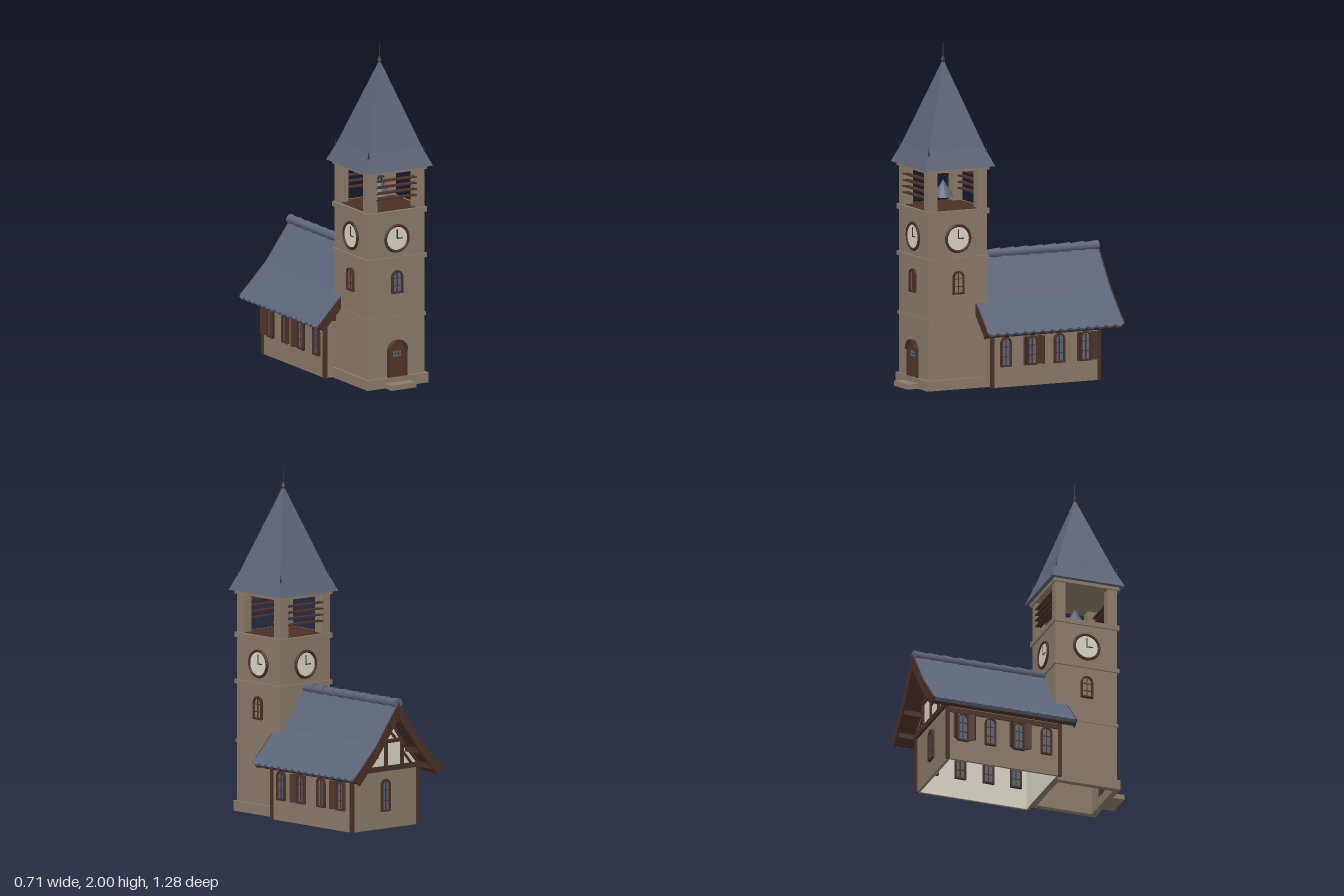
import * as THREE from 'three';

const mat = (name, color) => Object.assign(new THREE.MeshStandardMaterial({ color }), { name });

export function createModel() {
  const stone = mat('stone', 0x8b7b6b), slate = mat('slate', 0x5c6579), timber = mat('timber', 0x4a3129),
    plaster = mat('plaster', 0xdad5c8), door = mat('door wood', 0x553629), iron = mat('iron', 0x35352a);
  const model = new THREE.Group();
  const TZ = 0.365, T = 0.19; // tower centre and half width

  const add = (parent, name, geo, m, x = 0, y = 0, z = 0) => {
    const mesh = new THREE.Mesh(geo, m);
    mesh.name = name;
    mesh.position.set(x, y, z);
    parent.add(mesh);
    return mesh;
  };
  const box = (parent, name, m, w, h, d, x, y, z) => add(parent, name, new THREE.BoxGeometry(w, h, d), m, x, y, z);
  const group = (name, x = 0, y = 0, z = 0, turn = 0) => {
    const g = new THREE.Group();
    g.name = name;
    g.position.set(x, y, z);
    g.rotation.y = turn;
    model.add(g);
    return g;
  };
  const extrude = (shape, depth) => new THREE.ExtrudeGeometry(shape, { depth, bevelEnabled: false, curveSegments: 10 });
  const poly = pts => new THREE.Shape(pts.map(p => new THREE.Vector2(...p)));
  const beam = (parent, a, b, w, d, z) => {
    const dx = b[0] - a[0], dy = b[1] - a[1];
    box(parent, 'gableTimber', timber, Math.hypot(dx, dy), w, d, (a[0] + b[0]) / 2, (a[1] + b[1]) / 2, z)
      .rotation.z = Math.atan2(dy, dx);
  };

  // Square hollow course of masonry
  const course = (name, half, y0, y1, thick = 0.02) => {
    const sq = r => [[-r, -r], [r, -r], [r, r], [-r, r]];
    const s = poly(sq(half));
    s.holes.push(poly(sq(half - thick)));
    add(model, name, extrude(s, y1 - y0), stone, 0, y0, TZ).rotation.x = -Math.PI / 2;
  };
  // Round-headed outline standing on y = base
  const arch = (half, base, top) => {
    const s = new THREE.Shape();
    s.moveTo(-half, base);
    s.lineTo(half, base);
    s.lineTo(half, top - half);
    s.absarc(0, top - half, half, 0, Math.PI, false);
    s.closePath();
    return s;
  };
  // Arched window facing local +z
  const archWindow = (g, half, h, glass) => {
    const frame = arch(half, 0, h), inner = arch(half - 0.01, 0.01, h - 0.01);
    frame.holes.push(inner);
    add(g, 'windowFrame', extrude(frame, 0.016), timber);
    add(g, 'windowGlass', extrude(inner, 0.005), glass);
    box(g, 'mullion', timber, 0.006, h - 0.02, 0.01, 0, h / 2, 0.005);
    for (const t of [0.33, 0.66]) box(g, 'glazingBar', timber, half * 2 - 0.015, 0.004, 0.008, 0, h * t, 0.005);
  };

  // Tower shaft, plinth and string courses
  course('towerWalls', T, 0, 1.04);
  course('plinth', 0.205, 0, 0.06, 0.035);
  course('lowerBand', 0.195, 0.4, 0.42);
  course('middleBand', 0.2, 0.745, 0.77);
  course('upperBand', 0.2, 1.015, 1.045);
  box(model, 'towerCeiling', stone, 0.36, 0.01, 0.36, 0, 0.4, TZ);
  box(model, 'step', stone, 0.17, 0.03, 0.09, 0, 0.015, 0.595);

  // Clocks and tower windows
  for (let i = 0; i < 4; i++) {
    const a = i * Math.PI / 2, nx = Math.sin(a), nz = Math.cos(a);
    const clock = group('clock', nx * T, 0.88, TZ + nz * T, a);
    add(clock, 'clockRim', new THREE.TorusGeometry(0.076, 0.009, 8, 32), timber, 0, 0, 0.004);
    add(clock, 'clockFace', new THREE.CylinderGeometry(0.074, 0.074, 0.012, 32), plaster).rotation.x = Math.PI / 2;
    box(clock, 'minuteHand', timber, 0.006, 0.055, 0.004, 0, 0.026, 0.007);
    box(clock, 'hourHand', timber, 0.038, 0.006, 0.004, 0.017, 0, 0.007);
    if (i !== 2) {
      const win = group('towerWindow', nx * T, 0.555, TZ + nz * T, a);
      archWindow(win, 0.036, 0.135, i ? stone : slate);
      box(win, 'windowSill', timber, 0.076, 0.008, 0.02, 0, 0.004, 0.008);
    }
  }

  // Entrance door
  const entry = group('entrance', 0, 0.06, TZ + T);
  add(entry, 'doorLeaf', extrude(arch(0.056, 0, 0.205), 0.026), door, 0, 0, -0.021);
  const surround = arch(0.064, 0, 0.216);
  surround.holes.push(arch(0.054, 0, 0.204));
  add(entry, 'doorFrame', extrude(surround, 0.014), timber);
  add(entry, 'doorHood', new THREE.TorusGeometry(0.06, 0.007, 6, 16, Math.PI), timber, 0, 0.154, 0.02);
  for (let i = 0; i < 6; i++)
    box(entry, 'doorPane', slate, 0.013, 0.013, 0.004, ((i % 3) - 1) * 0.02, 0.125 + (i > 2) * 0.02, 0.006);

  // Belfry
  for (const x of [-0.16, 0.16]) for (const z of [-0.16, 0.16])
    box(model, 'belfryPost', stone, 0.06, 0.235, 0.06, x, 1.157, TZ + z);
  box(model, 'belfryFloor', timber, 0.36, 0.012, 0.36, 0, 1.042, TZ);
  box(model, 'belfryCeiling', stone, 0.4, 0.02, 0.4, 0, 1.28, TZ);
  for (const s of [-1, 1]) for (let i = 0; i < 4; i++)
    box(model, 'louvre', timber, 0.27, 0.008, 0.035, 0, 1.12 + i * 0.036, TZ + s * 0.177);
  add(model, 'bell', new THREE.ConeGeometry(0.062, 0.1, 20), slate, 0, 1.15, TZ);

  // Spire and finials
  const spireGeo = new THREE.LatheGeometry([[0, 1.29], [0.225, 1.29], [0.178, 1.4], [0.001, 1.9]]
    .map(([r, y]) => new THREE.Vector2(r * Math.SQRT2, y)), 4).toNonIndexed();
  spireGeo.computeVertexNormals();
  add(model, 'spire', spireGeo, slate, 0, 0, TZ).rotation.y = Math.PI / 4;
  add(model, 'finialRod', new THREE.CylinderGeometry(0.002, 0.004, 0.12, 6), iron, 0, 1.94, TZ);
  add(model, 'finialCone', new THREE.ConeGeometry(0.015, 0.03, 8), iron, 0, 1.915, TZ);
  add(model, 'finialCollar', new THREE.SphereGeometry(0.01, 8, 6), iron, 0, 1.893, TZ);
  for (const x of [-0.186, 0.186]) for (const z of [-0.186, 0.186])
    add(model, 'cornerFinial', new THREE.ConeGeometry(0.006, 0.05, 6), iron, x, 1.395, TZ + z);

  // Nave walls with plaster lining
  const N0 = -0.515, N1 = 0.175, NL = N1 - N0, NZ = (N0 + N1) / 2;
  for (const s of [-1, 1]) {
    box(model, 'naveSideWall', stone, 0.012, 0.36, NL, s * 0.249, 0.18, NZ);
    box(model, 'sideLining', plaster, 0.006, 0.3, NL - 0.02, s * 0.241, 0.151, NZ);
    box(model, 'wallPlate', timber, 0.016, 0.03, NL, s * 0.256, 0.31, NZ);
    for (const z of [N0, N1]) box(model, 'cornerPost', timber, 0.02, 0.34, 0.02, s * 0.253, 0.17, z);
  }
  for (const [z, s] of [[N0, -1], [N1, 1]]) {
    box(model, 'naveEndWall', stone, 0.5, 0.345, 0.012, 0, 0.1725, z - s * 0.006);
    box(model, 'endLining', plaster, 0.48, 0.3, 0.006, 0, 0.151, z - s * 0.015);
    // Half-timbered gable
    const gable = group('gable');
    add(gable, 'gablePlaster', extrude(poly([[-0.255, 0.34], [0.255, 0.34], [0.255, 0.39], [0.165, 0.47], [0, 0.7],
      [-0.165, 0.47], [-0.255, 0.39]]), 0.012), plaster, 0, 0, z - 0.006);
    const zb = z + s * 0.006;
    beam(gable, [-0.26, 0.352], [0.26, 0.352], 0.03, 0.02, zb);
    beam(gable, [-0.14, 0.51], [0.14, 0.51], 0.022, 0.018, zb);
    beam(gable, [0, 0.35], [0, 0.69], 0.022, 0.016, zb);
    for (const m of [-1, 1]) {
      beam(gable, [m * 0.125, 0.35], [m * 0.125, 0.51], 0.022, 0.016, zb);
      beam(gable, [m * 0.245, 0.37], [m * 0.165, 0.46], 0.02, 0.016, zb);
      beam(gable, [m * 0.16, 0.46], [0, 0.685], 0.022, 0.016, zb);
      beam(gable, [m * 0.2, 0.36], [m * 0.13, 0.44], 0.014, 0.014, zb);
      beam(gable, [m * 0.075, 0.52], [0, 0.6], 0.014, 0.014, zb);
    }
  }
  box(model, 'naveCeiling', timber, 0.49, 0.012, NL - 0.02, 0, 0.306, NZ);

  // Nave windows, every second one with open shutters
  for (const s of [-1, 1]) [0.09, -0.08, -0.255, -0.425].forEach((z, i) => {
    const win = group('naveWindow', s * 0.255, 0.12, z, s * Math.PI / 2);
    archWindow(win, 0.034, 0.175, slate);
    if (i % 2) for (const m of [-1, 1]) {
      const leaf = box(win, 'shutter', timber, 0.045, 0.165, 0.008, m * 0.05, 0.088, 0.02);
      leaf.rotation.y = -m * Math.PI / 4;
    }
  });
  archWindow(group('backWindow', 0, 0.1, N0, Math.PI), 0.034, 0.19, slate);
  // Matching inner frames
  for (const s of [-1, 1]) for (const z of [0.09, -0.08, -0.255, -0.425])
    archWindow(group('innerWindow', s * 0.238, 0.12, z, -s * Math.PI / 2), 0.034, 0.175, slate);

  // Nave roof: flared layers, t is depth below the top surface
  const line = t => [[0, 0.75 - 1.5 * t], [0.165, 0.52 - 1.3 * t], [0.345 - 0.7 * t, 0.335 - 0.7 * t]];
  const layer = (name, m, t0, t1, z0, z1) => {
    const flip = pts => pts.slice(1).reverse().map(([x, y]) => [-x, y]);
    const top = [...flip(line(t0)), ...line(t0)], low = [...flip(line(t1)), ...line(t1)].reverse();
    add(model, name, extrude(poly([...top, ...low]), z1 - z0), m, 0, 0, z0);
  };
  layer('roofSlates', slate, 0, 0.025, -0.63, 0.243);
  layer('roofDeck', timber, 0.025, 0.045, -0.628, 0.241);
  layer('backBargeboard', timber, 0.002, 0.06, -0.64, -0.628);
  layer('frontBargeboard', timber, 0.002, 0.055, 0.241, 0.25);

  // Rounded slates along the eaves
  for (const s of [-1, 1]) for (let i = 0; i < 15; i++)
    add(model, 'eaveSlate', new THREE.CylinderGeometry(0.034, 0.034, 0.018, 14), slate, s * 0.326, 0.343, 0.213 - i * 0.058)
      .rotation.z = -s * Math.PI / 4;

  // Overlapping ridge tiles
  for (let i = 0; i < 9; i++)
    add(model, 'ridgeTile', new THREE.CylinderGeometry(0.022, 0.03, 0.1, 14), slate, 0, 0.745, 0.14 - i * 0.0905)
      .rotation.x = Math.PI / 2;

  // Purlin ends carrying the back overhang
  for (const [x, y] of [[0, 0.655], [-0.165, 0.45], [0.165, 0.45], [-0.265, 0.35], [0.265, 0.35]])
    box(model, 'purlinEnd', timber, 0.025, 0.03, 0.115, x, y, -0.572);

  return model;
}
